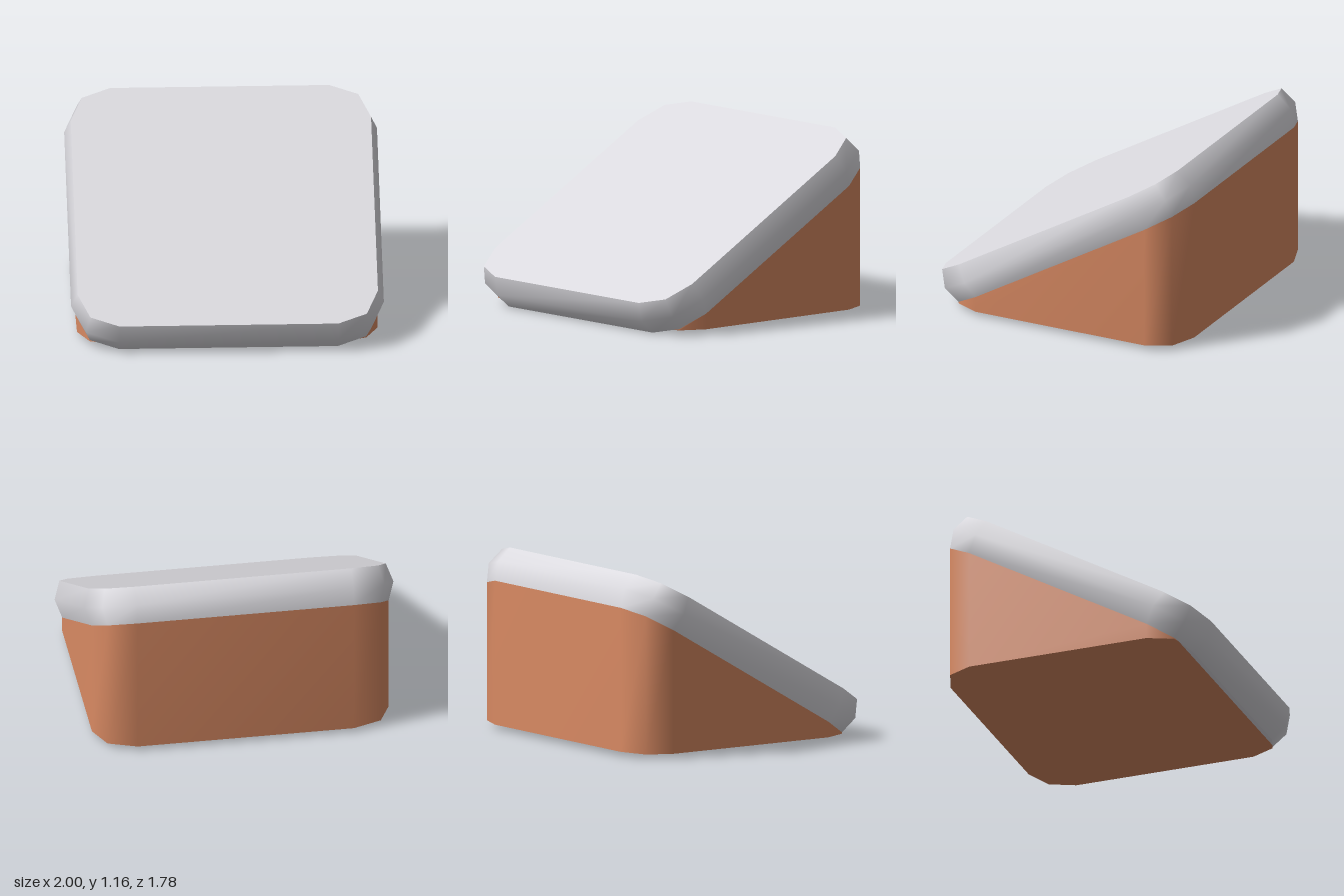
import * as THREE from 'three';

const TILT = Math.PI / 6, HALF = 0.118, CENTRE_Y = 0.588, FLOOR = 0.035;

// Rounded square outline with two-segment corners, at a given height
function ring(radius, y) {
  const points = [];
  for (let corner = 0; corner < 4; corner++) {
    const mid = Math.PI / 4 + corner * Math.PI / 2;
    const cx = 0.7 * Math.sign(Math.cos(mid)), cz = 0.7 * Math.sign(Math.sin(mid));
    for (let k = -1; k <= 1; k++) {
      const a = mid + k * Math.PI / 4;
      points.push(new THREE.Vector3(cx + radius * Math.cos(a), y, cz + radius * Math.sin(a)));
    }
  }
  return points;
}

function build(points, index) {
  const geometry = new THREE.BufferGeometry().setFromPoints(points);
  geometry.setIndex(index);
  geometry.computeVertexNormals();
  return geometry;
}

// Smooth wall through rings listed from bottom to top
function wall(rings) {
  const n = rings[0].length, index = [];
  for (let r = 0; r < rings.length - 1; r++) {
    for (let i = 0; i < n; i++) {
      const a = r * n + i, b = r * n + (i + 1) % n;
      index.push(a, a + n, b, a + n, b + n, b);
    }
  }
  return build(rings.flat(), index);
}

// Flat face filling one ring
function cap(points, up) {
  const index = [];
  for (let i = 1; i < points.length - 1; i++) index.push(0, up ? i + 1 : i, up ? i : i + 1);
  return build(points, index);
}

export function createModel() {
  const lightGrey = new THREE.MeshStandardMaterial({ color: 0xdad9de });
  const terracotta = new THREE.MeshStandardMaterial({ color: 0xd98a63 });
  const model = new THREE.Group();
  model.name = 'wedgeBlock';

  const add = (parent, name, geometry, material) => {
    const mesh = new THREE.Mesh(geometry, material);
    mesh.name = name;
    parent.add(mesh);
  };

  // Tilted slab with a bulging rim
  const slab = new THREE.Group();
  slab.name = 'slab';
  slab.position.y = CENTRE_Y;
  slab.rotation.x = TILT;
  const under = ring(0.26, -HALF), middle = ring(0.3, 0), over = ring(0.26, HALF);
  add(slab, 'slabRim', wall([under, middle, over]), lightGrey);
  add(slab, 'slabTop', cap(over, true), lightGrey);
  add(slab, 'slabUnderside', cap(under, false), lightGrey);
  model.add(slab);

  // Upright base: the slab's underside outline dropped to the floor
  const top = under.map(p => {
    const q = p.clone().applyAxisAngle(new THREE.Vector3(1, 0, 0), TILT);
    q.y = Math.max(q.y + CENTRE_Y, FLOOR + 0.001);
    return q;
  });
  const bottom = top.map(p => new THREE.Vector3(p.x, FLOOR, p.z));
  const base = new THREE.Group();
  base.name = 'base';
  add(base, 'baseWall', wall([bottom, top]), terracotta);
  add(base, 'baseFloor', cap(bottom, false), terracotta);
  model.add(base);

  return model;
}
